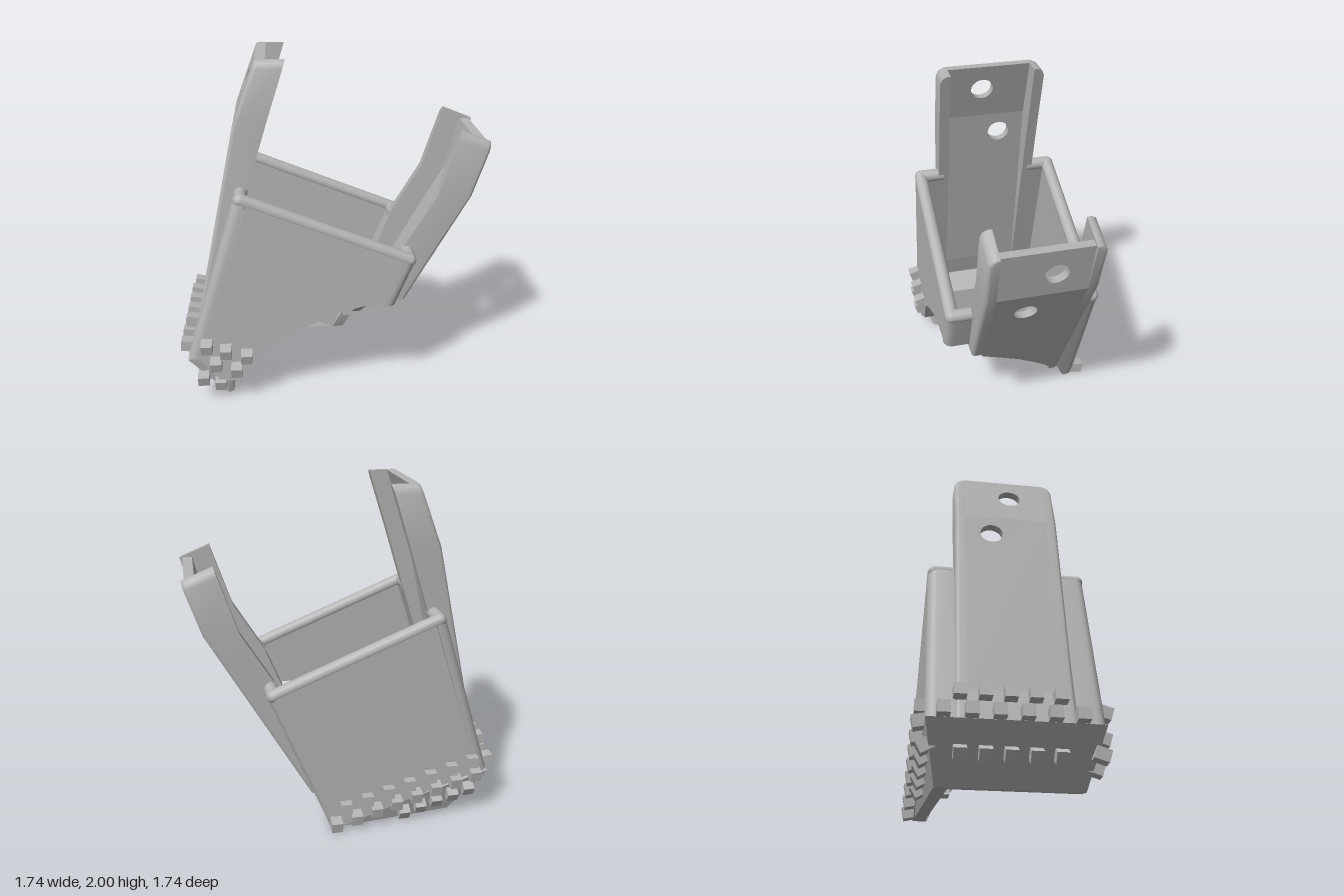
import * as THREE from 'three';
import { toCreasedNormals } from 'three/addons/utils/BufferGeometryUtils.js';
import { ConvexGeometry } from 'three/addons/geometries/ConvexGeometry.js';

// Local frame: x across, y up, z toward the tall post; turned 45 degrees at the end.
const T = 0.07; // wall thickness
const P = 0.055; // post plate thickness
const frontWall = y => 0.785 - 0.304 * (y - 0.28);
const backWall = y => -(0.19 + 0.395 * y);

// Piecewise-linear table lookup
const along = table => y => {
  let i = 0;
  while (i < table.length - 2 && y > table[i + 1][0]) i++;
  const [a, b] = [table[i], table[i + 1]];
  return a[1] + (b[1] - a[1]) * (y - a[0]) / (b[0] - a[0]);
};

export function createModel() {
  const gray = new THREE.MeshStandardMaterial({ color: 0xb4b4b4 });
  gray.name = 'plain gray';
  const model = new THREE.Group();
  const body = new THREE.Group();
  body.name = 'scoopBody';
  body.rotation.y = -Math.PI / 4;
  model.add(body);

  const add = (name, geo) => {
    const m = new THREE.Mesh(geo, gray);
    m.name = name;
    body.add(m);
    return m;
  };
  const makeShape = pts => new THREE.Shape(pts.map(p => new THREE.Vector2(...p)));

  // Upright plate drawn in (x, y), then leaned so its outer face follows outer(y)
  const leaningPlate = (name, pts, outer, isFront, holes) => {
    const s = makeShape(pts);
    for (const [x, y, r] of holes) {
      const h = new THREE.Path();
      h.absarc(x, y, r, 0, Math.PI * 2, true);
      s.holes.push(h);
    }
    const g = new THREE.ExtrudeGeometry(s, { depth: P, bevelEnabled: false, curveSegments: 10 });
    const p = g.attributes.position;
    for (let i = 0; i < p.count; i++) {
      p.setZ(i, p.getZ(i) + outer(p.getY(i)) - (isFront ? P : 0));
    }
    add(name, toCreasedNormals(g, 0.7));
  };

  // Solid lofted through convex sections [{ y, pts: [[x, z, lift], ...] }]
  const loft = (name, sections) => {
    const n = sections[0].pts.length;
    const ring = sections[0].pts;
    const area = ring.reduce((s, a, i) => {
      const b = ring[(i + 1) % n];
      return s + a[0] * b[1] - b[0] * a[1];
    }, 0);
    const pos = [], idx = [];
    for (const { y, pts } of sections) {
      for (const [x, z, lift = 0] of area > 0 ? [...pts].reverse() : pts) pos.push(x, y + lift, z);
    }
    const last = (sections.length - 1) * n;
    for (let k = 0; k < last; k += n) {
      for (let i = 0; i < n; i++) {
        const j = (i + 1) % n;
        idx.push(k + i, k + j, k + n + j, k + i, k + n + j, k + n + i);
      }
    }
    for (let i = 1; i < n - 1; i++) idx.push(0, i + 1, i, last, last + i, last + i + 1);
    const g = new THREE.BufferGeometry();
    g.setAttribute('position', new THREE.Float32BufferAttribute(pos, 3));
    g.setIndex(idx);
    add(name, toCreasedNormals(g.toNonIndexed(), 0.7));
  };

  // Bar section between x0 and x1 with its outer corner rounded
  const roundedBar = (side, x0, x1, zIn, zOut, r) => {
    const d = Math.sign(zOut - zIn);
    const pts = [[x0, zIn], [x1, zIn]];
    for (let i = 0; i <= 5; i++) {
      const a = i * Math.PI / 10;
      pts.push([x1 - r + r * Math.cos(a), zOut + d * (r * Math.sin(a) - r)]);
    }
    pts.push([x0, zOut]);
    return pts.map(([x, z]) => [side * x, z]);
  };

  // Posts: drilled plate with a rounded flange on each side; the top slopes down outward by tilt
  const post = ({ name, foot, flangeFoot, bends, top, tilt, outer, inner, holes, isFront }) => {
    const drop = tilt * Math.abs(outer(top) - inner(top));
    const levels = [0, ...bends, top - drop];
    for (let i = 0; i < levels.length - 1; i++) {
      const [a, b] = [levels[i], levels[i + 1]];
      const base = i === 0 ? foot : [[-0.24, a], [0.24, a]];
      leaningPlate(name + 'Plate', [...base, [0.24, b], [-0.24, b]],
        outer, isFront, holes.filter(h => h[1] > a && h[1] < b));
    }
    for (const side of [-1, 1]) {
      const start = flangeFoot[side < 0 ? 0 : 1];
      const steps = [[start, 0, 0], ...bends.filter(y => y > start).map(y => [y, 0, 0]),
        [top - 0.045, 0, tilt], [top - 0.015, 0.012, tilt], [top, 0.035, tilt]];
      loft(name + 'Flange', steps.map(([y, inset, t]) => ({
        y,
        pts: roundedBar(side, 0.24, 0.3 - inset, inner(y), outer(y), 0.022)
          .map(([x, z]) => [x, z, -t * Math.abs(z - inner(y))]),
      })));
    }
  };
  post({
    name: 'tallPost', foot: [[-0.24, 0.28], [0.24, 0.28]], flangeFoot: [0.28, 0.28],
    bends: [0.45, 1.65], top: 2, tilt: 0, isFront: true,
    outer: along([[0.28, 0.785], [0.45, 0.733], [1.65, 0.48], [2, 0.35]]),
    inner: along([[0.28, 0.715], [0.45, 0.66], [1.65, 0.3], [2, 0.19]]),
    holes: [[-0.09, 1.52, 0.066], [0.03, 1.845, 0.066]],
  });
  // The short post's foot follows the arched cut
  post({
    name: 'shortPost', flangeFoot: [0.16, 0.57],
    foot: [[-0.24, 0.19], [-0.2, 0.24], [-0.1, 0.33], [0, 0.41], [0.1, 0.47], [0.24, 0.55]],
    bends: [0.92, 1.22], top: 1.6, tilt: 0.4, isFront: false,
    outer: along([[0, -0.19], [1.22, -0.86], [1.6, -0.955]]),
    inner: along([[0, -0.12], [0.92, -0.483], [1.22, -0.66], [1.6, -0.78]]),
    holes: [[0.06, 1.05, 0.064], [-0.06, 1.365, 0.064]],
  });

  // Side walls, drawn in (z, y) and stood across x
  const sideWall = (name, pts, x) => {
    const g = new THREE.ExtrudeGeometry(makeShape(pts), { depth: T, bevelEnabled: false });
    g.rotateY(Math.PI / 2);
    g.translate(x, 0, 0);
    add(name, g);
  };
  sideWall('closedSideWall', [[-0.715, 0.28], [-0.41, 1.265], [0.47, 0.885], [0.12, 0.0]], -0.445);
  sideWall('archedSideWall', [[-0.715, 0.28], [-0.41, 1.265], [0.47, 0.885], [0.365, 0.62], [0.24, 0.61],
    [0.08, 0.57], [-0.16, 0.45], [-0.29, 0.37], [-0.37, 0.3], [-0.47, 0.13], [-0.6, 0.13]], 0.445 - T);

  // Rounded vertical corners and rolled rims
  const rod = (name, a, b, r) => {
    const [p, q] = [new THREE.Vector3(...a), new THREE.Vector3(...b)];
    const m = add(name, new THREE.CylinderGeometry(r, r, p.distanceTo(q), 16));
    m.position.copy(p).lerp(q, 0.5);
    m.quaternion.setFromUnitVectors(new THREE.Vector3(0, 1, 0), q.clone().sub(p).normalize());
  };
  const R = 0.038;
  for (const side of [-1, 1]) {
    loft('frontCorner', [0.28, 1.265].map(y => (
      { y, pts: roundedBar(side, 0.3, 0.445, frontWall(y) - T, frontWall(y), 0.05) })));
    const backSteps = side > 0 ? [[0.605, 0.3], [0.885, 0.3]] : [[0, 0.37], [0.16, 0.3], [0.885, 0.3]];
    loft('backCorner', backSteps.map(([y, x0]) => (
      { y, pts: roundedBar(side, x0, 0.445, backWall(y) + T, backWall(y), 0.05) })));
    const x = side * (0.447 - R);
    const front = [x, 1.265, frontWall(1.265) - R], back = [x, 0.885, backWall(0.885) + R];
    rod('sideRim', front, back, R);
    for (const [px, py, pz] of [front, back]) {
      add('rimCorner', new THREE.SphereGeometry(R, 16, 10)).position.set(px, py, pz);
      rod('endRim', [px, py, pz], [side * 0.27, py, pz], R);
    }
  }

  // Cutting lip with sloped outer face and inner ledge
  const hull = (name, pts) => add(name, new ConvexGeometry(pts.map(p => new THREE.Vector3(...p))));
  const lip = [];
  for (const s of [-1, 1]) {
    lip.push([s * 0.445, 0.28, 0.785], [s * 0.38, 0, 0.56], [s * 0.36, 0, 0.53],
      [s * 0.38, 0.26, 0.55], [s * 0.4, 0.32, 0.7]);
  }
  hull('cuttingLip', lip);

  // Lower facet folding inward under the closed side
  hull('lowerFacet', [[-0.445, 0.28, 0.785], [-0.445, 0, -0.19], [-0.38, 0, 0.56],
    [-0.375, 0.28, 0.7], [-0.375, 0, -0.12], [-0.31, 0, 0.54]]);

  // Small square studs around the lip
  const cube = new THREE.BoxGeometry(0.066, 0.066, 0.08);
  const stud = (x, y, z, rx = 0, ry = 0) => {
    const m = add('stud', cube);
    m.position.set(x, y, z);
    m.rotation.set(rx, ry, 0, 'YXZ');
  };
  const studRow = (n, from, to, place) => {
    for (let i = 0; i < n; i++) place(from + (to - from) * i / (n - 1));
  };
  studRow(5, -0.28, 0.22, x => stud(x, 0.42, 0.76, -0.2));
  studRow(6, -0.36, 0.32, x => stud(x, 0.315, 0.795, -0.1));
  studRow(5, -0.27, 0.23, x => stud(x, 0.14, 0.695, 0.6));
  const fold = z => 0.28 - 0.287 * (0.785 - z);
  const quarter = -Math.PI / 2;
  studRow(7, 0.67, -0.1, z => stud(-0.455, fold(z) + 0.12, z, 0, quarter));
  studRow(8, 0.69, -0.16, z => stud(-0.465, fold(z) + 0.03, z, 0.2, quarter));
  studRow(5, 0.66, 0.26, z => stud(-0.435, fold(z) - 0.07, z, 0.5, quarter));
  for (const [x, y, z] of [[0.46, 0.38, 0.67], [0.46, 0.345, 0.56], [0.46, 0.31, 0.44],
    [0.46, 0.26, 0.62], [0.46, 0.22, 0.5], [0.43, 0.15, 0.7], [0.42, 0.11, 0.6]]) {
    stud(x, y, z, 0.3, -quarter);
  }
  return model;
}
